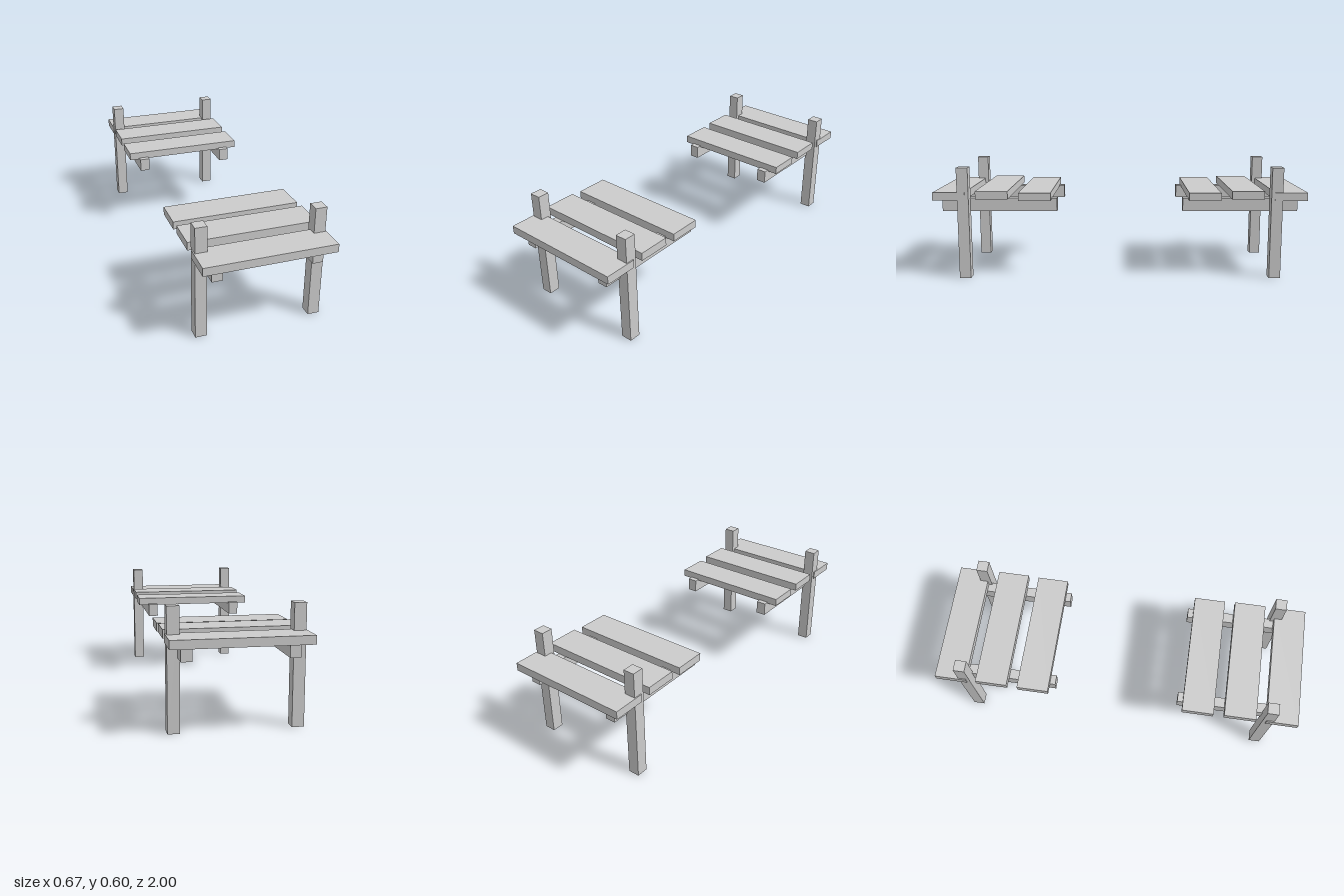
import * as THREE from 'three';

const material = new THREE.MeshStandardMaterial({ color: 0xcccccc, flatShading: true });

// Box given by its [min, max] extents on each axis
function board(name, [x0, x1], [y0, y1], [z0, z1]) {
  const mesh = new THREE.Mesh(new THREE.BoxGeometry(x1 - x0, y1 - y0, z1 - z0), material);
  mesh.position.set((x0 + x1) / 2, (y0 + y1) / 2, (z0 + z1) / 2);
  mesh.name = name;
  return mesh;
}

// One half of the jetty: two posts, two beams and three planks
function createPlatform(name) {
  const platform = new THREE.Group();
  platform.name = name;

  for (const [side, s] of [['left', 1], ['right', -1]]) {
    const x = (c, w) => [s * c - w / 2, s * c + w / 2];
    platform.add(
      board(side + 'Post', x(0.3, 0.06), [0, 0.602], [0.809, 0.87]),
      board(side + 'Beam', x(0.253, 0.054), [0.361, 0.433], [0.34, 0.96])
    );
  }

  // The middle plank sits slightly higher than its neighbours
  const width = [-0.336, 0.336];
  platform.add(
    board('innerPlank', width, [0.426, 0.468], [0.37, 0.542]),
    board('middlePlank', width, [0.434, 0.477], [0.599, 0.772]),
    board('outerPlank', width, [0.427, 0.47], [0.828, 1])
  );
  return platform;
}

export function createModel() {
  const model = new THREE.Group();
  model.name = 'brokenJetty';
  const front = createPlatform('frontPlatform');
  const back = createPlatform('backPlatform');
  back.rotation.y = Math.PI;
  model.add(front, back);
  return model;
}
